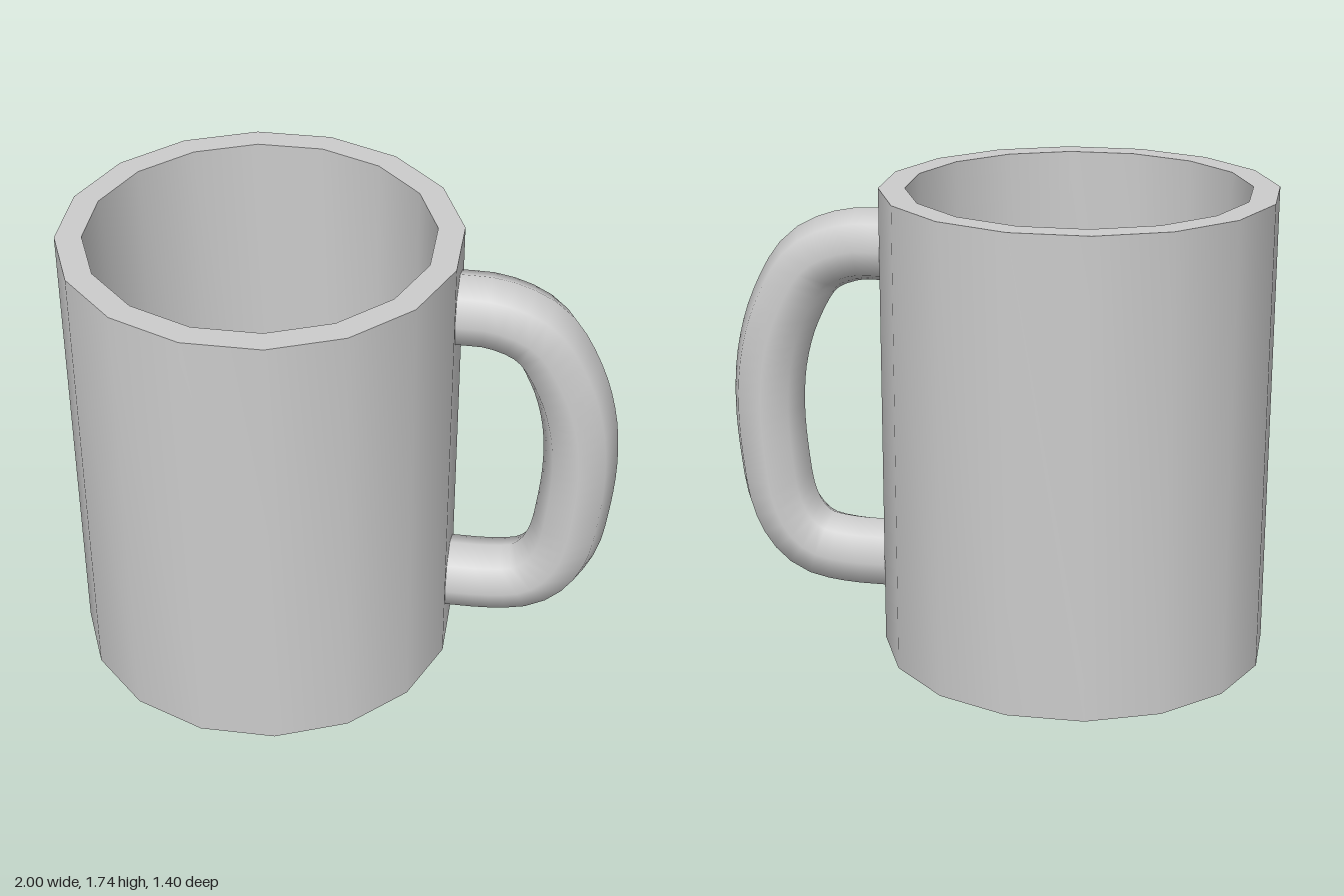
import * as THREE from 'three';
import { toCreasedNormals } from 'three/addons/utils/BufferGeometryUtils.js';

const SIDES = 16;
const HEIGHT = 1.74;
const FLOOR = 0.1;
const CENTER_X = -0.3;

// corner radius of a regular polygon whose flats lie at the given distance
const cornerRadius = (apothem) => apothem / Math.cos(Math.PI / SIDES);
const OUTER = cornerRadius(0.7);
const INNER = cornerRadius(0.607);

export function createModel() {
  const group = new THREE.Group();
  group.name = 'mug';
  const material = new THREE.MeshStandardMaterial({ color: 0xcccccc, side: THREE.DoubleSide });

  // hollow body: base, outer wall, rim, inner wall, inner floor
  const profile = [
    [0, 0], [OUTER, 0], [OUTER, HEIGHT], [INNER, HEIGHT], [INNER, FLOOR], [0, FLOOR],
  ].map(([r, y]) => new THREE.Vector2(r, y));
  const bodyGeometry = new THREE.LatheGeometry(profile, SIDES, Math.PI / SIDES);
  const body = new THREE.Mesh(toCreasedNormals(bodyGeometry, 0.6), material);
  body.name = 'body';
  body.position.x = CENTER_X;
  group.add(body);

  // handle: eight-sided tube along a rounded loop
  const path = new THREE.CatmullRomCurve3([
    [0.39, 1.5], [0.54, 1.493], [0.685, 1.425], [0.79, 1.255], [0.847, 1.07], [0.865, 0.88],
    [0.853, 0.67], [0.825, 0.5], [0.772, 0.392], [0.69, 0.323], [0.56, 0.296], [0.39, 0.292],
  ].map(([x, y]) => new THREE.Vector3(x, y, 0)));
  const handle = new THREE.Mesh(new THREE.TubeGeometry(path, 32, 0.135, 8, false), material);
  handle.name = 'handle';
  group.add(handle);

  return group;
}
